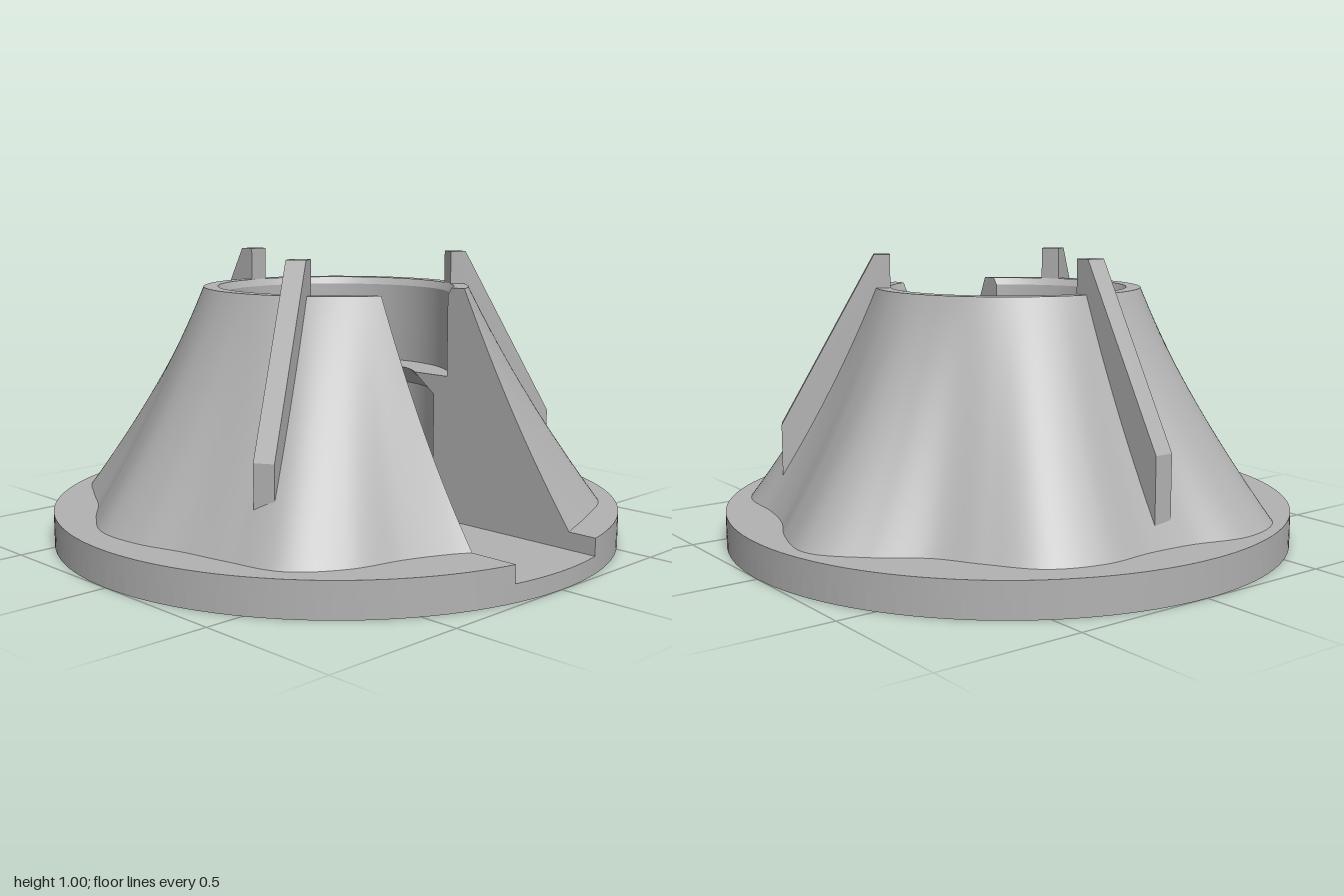
import * as THREE from 'three';

const HALF_SLOT = 0.205;
const STEPS = 240;
const TAU = Math.PI * 2;

// Foot radius of the wavy skirt every 12 degrees, from +x towards +z
const FOOT = [
  0.897, 0.838, 0.85, 0.925, 0.94, 0.905, 0.893, 0.91, 0.88, 0.82,
  0.825, 0.895, 0.93, 0.88, 0.857, 0.885, 0.902, 0.868, 0.848, 0.89,
  0.958, 0.94, 0.857, 0.843, 0.89, 0.90, 0.845, 0.815, 0.88, 0.95,
];

// Periodic cubic interpolation of the foot radius
function footRadius(angle) {
  const n = FOOT.length;
  const u = (((angle / TAU) % 1) + 1) % 1 * n;
  const i = Math.floor(u), f = u - i;
  const [a, b, c, d] = [-1, 0, 1, 2].map((k) => FOOT[(i + k + n) % n]);
  return b + 0.5 * f * (c - a + f * (2 * a - 5 * b + 4 * c - d + f * (3 * (b - c) + d - a)));
}

// One horizontal ring, open at the front where the slot cuts it
function ring(radius, y) {
  const r = typeof radius === 'function' ? radius : () => radius;
  let end = Math.PI / 2, start = Math.PI / 2;
  for (let k = 0; k < 25; k++) {
    end = Math.PI / 2 - Math.asin(HALF_SLOT / r(end));
    start = Math.PI / 2 + Math.asin(HALF_SLOT / r(start));
  }
  const points = [];
  for (let i = 0; i <= STEPS; i++) {
    const a = start + (end + TAU - start) * (i / STEPS);
    points.push(new THREE.Vector3(r(a) * Math.cos(a), y, r(a) * Math.sin(a)));
  }
  return points;
}

// Smooth surface through a stack of rings
function loft(rings) {
  const index = [], w = STEPS + 1;
  for (let j = 0; j < rings.length - 1; j++) {
    for (let i = 0; i < STEPS; i++) {
      const a = j * w + i, c = a + w;
      index.push(a, c, a + 1, a + 1, c, c + 1);
    }
  }
  const geometry = new THREE.BufferGeometry().setFromPoints(rings.flat());
  geometry.setIndex(index);
  geometry.computeVertexNormals();
  return geometry;
}

export function createModel() {
  const grey = new THREE.MeshStandardMaterial({ color: 0xb2b2b2 });
  grey.name = 'grey';
  const model = new THREE.Group();
  model.name = 'slottedStand';
  const add = (name, geometry, parent = model) => {
    const mesh = new THREE.Mesh(geometry, grey);
    mesh.name = name;
    parent.add(mesh);
    return mesh;
  };

  // Lower half of the base disc with four blind pockets underneath
  const disc = new THREE.Shape().absarc(0, 0, 1, 0, TAU, false);
  for (let k = 0; k < 4; k++) {
    const a = Math.PI / 4 + (k * Math.PI) / 2;
    const x = 0.77 * Math.cos(a), z = 0.77 * Math.sin(a);
    disc.holes.push(new THREE.Path().absarc(x, z, 0.125, 0, TAU, true));
    const cap = add('pocketEnd', new THREE.CircleGeometry(0.13, 48).rotateX(Math.PI / 2));
    cap.position.set(x, 0.0595, z);
  }
  add('baseDisc', new THREE.ExtrudeGeometry(disc, { depth: 0.06, bevelEnabled: false, curveSegments: 64 })
    .rotateX(-Math.PI / 2));

  // Wavy skirt easing from the lobed foot to a round rim
  const skirt = [];
  for (let j = 0; j <= 20; j++) {
    const t = 1 - j / 20;
    const blend = 0.8 * t + 0.2 * t * t;
    skirt.push(ring((a) => 0.465 + (footRadius(a) - 0.465) * blend, 0.885 - 0.765 * t));
  }

  // Remaining rings of the slotted body, from base edge to inner floor
  const baseLow = ring(1, 0.06), baseTop = ring(1, 0.12);
  const rimInner = ring(0.415, 0.885), boreTop = ring(0.4, 0.86);
  const shelfOuter = ring(0.4, 0.575), shelfInner = ring(0.28, 0.575);
  const chamberTop = ring(0.35, 0.505), chamberFloor = ring(0.35, 0.06);
  const skirtTop = skirt[skirt.length - 1];

  const body = new THREE.Group();
  body.name = 'slottedBody';
  model.add(body);
  add('baseEdge', loft([baseLow, baseTop]), body);
  add('baseTop', loft([baseTop, skirt[0]]), body);
  add('skirt', loft(skirt), body);
  add('rim', loft([skirtTop, rimInner]), body);
  add('rimChamfer', loft([rimInner, boreTop]), body);
  add('upperBore', loft([boreTop, shelfOuter]), body);
  add('shelf', loft([shelfOuter, shelfInner]), body);
  add('shelfUnderside', loft([shelfInner, chamberTop]), body);
  add('lowerChamber', loft([chamberTop, chamberFloor]), body);

  // Flat walls on both sides of the slot
  const section = [baseLow, baseTop, ...skirt, rimInner, boreTop, shelfOuter, shelfInner, chamberTop, chamberFloor];
  for (const side of [-1, 1]) {
    const outline = section.map((points) => {
      const p = points[side < 0 ? 0 : STEPS];
      return new THREE.Vector2(side * p.z, p.y);
    });
    const wall = add('slotWall', new THREE.ShapeGeometry(new THREE.Shape(outline)).rotateY(-side * Math.PI / 2), body);
    wall.position.x = side * HALF_SLOT;
  }

  // Three upright ribs standing above the rim
  const profile = [[0.415, 1], [0.415, 0.3], [0.6, 0.13], [0.8, 0.13], [0.8, 0.41], [0.47, 1]];
  const ribShape = new THREE.Shape(profile.map(([r, y]) => new THREE.Vector2(r, y)));
  const ribGeometry = new THREE.ExtrudeGeometry(ribShape, { depth: 0.068, bevelEnabled: false })
    .translate(0, 0, -0.034);
  for (const degrees of [30, 150, 270]) {
    add('rib', ribGeometry).rotation.y = -THREE.MathUtils.degToRad(degrees);
  }
  return model;
}
